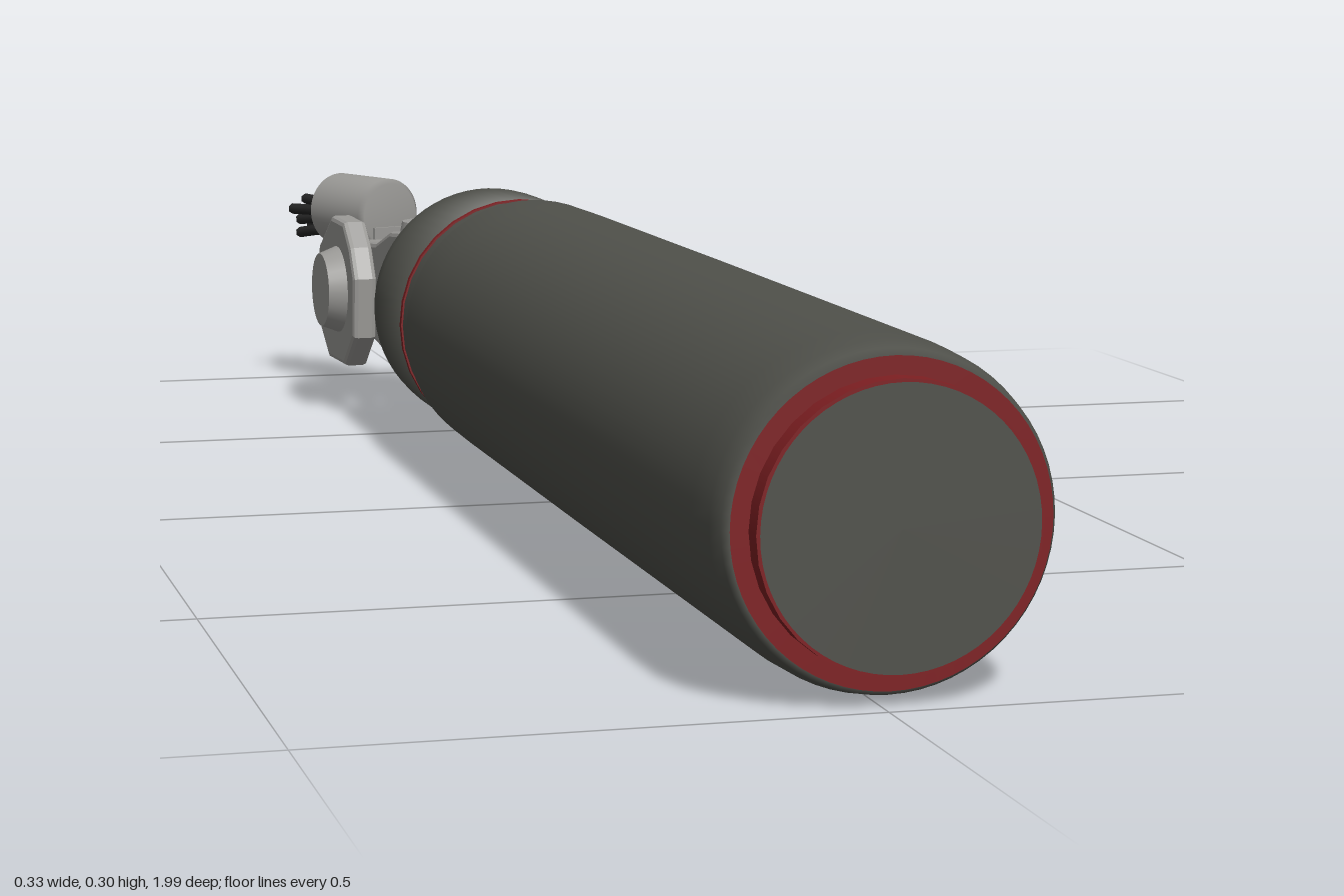
import * as THREE from 'three';

const mat = (name, color) => {
  const m = new THREE.MeshStandardMaterial({ color });
  m.name = name;
  return m;
};

export function createModel() {
  const model = new THREE.Group();
  const dark = mat('dark grey', 0x50514b);
  const red = mat('dark red', 0x7e1f22);
  const silver = mat('silver', 0x9b9a97);
  const black = mat('black', 0x242424);

  const add = (parent, name, geometry, material, x = 0, y = 0, z = 0) => {
    const mesh = new THREE.Mesh(geometry, material);
    mesh.name = name;
    mesh.position.set(x, y, z);
    parent.add(mesh);
    return mesh;
  };
  const group = (parent, name, x, y, z) => {
    const g = new THREE.Group();
    g.name = name;
    g.position.set(x, y, z);
    parent.add(g);
    return g;
  };
  // Turned part along z; [radius, z] points run from back to front.
  // Repeating each corner in its own strip keeps the rim edges crisp.
  const turned = (points) =>
    new THREE.LatheGeometry(points.map(([r, z]) => new THREE.Vector2(r, z)), 64).rotateX(Math.PI / 2);
  const rod = (r1, r2, length, axis) => {
    const g = new THREE.CylinderGeometry(r1, r2, length, 32);
    if (axis === 'x') g.rotateZ(-Math.PI / 2);
    if (axis === 'z') g.rotateX(Math.PI / 2);
    return g;
  };

  // Handle
  const handle = group(model, 'handle', 0.011, 0.154, 0);
  add(handle, 'grip', turned([[0, -0.3], [0.146, -0.3], [0.15, -0.295], [0.151, -0.2], [0.152, 0.3],
    [0.152, 0.9], [0.15, 0.945], [0.146, 0.965], [0.14, 0.97], [0, 0.97]]), dark);
  add(handle, 'gripBand', rod(0.147, 0.147, 0.008, 'z'), silver, 0, 0, -0.303);
  add(handle, 'neck', rod(0.143, 0.143, 0.05, 'z'), dark, 0, 0, -0.33);
  add(handle, 'redBand', rod(0.145, 0.145, 0.009, 'z'), red, 0, 0, -0.355);
  add(handle, 'collar', turned([[0, -0.53], [0.137, -0.53], [0.143, -0.524], [0.144, -0.5],
    [0.144, -0.36], [0, -0.36]]), dark);
  add(handle, 'frontRedRim', new THREE.RingGeometry(0.12, 0.141, 64), red, 0, 0, 0.974);
  add(handle, 'frontRedCap', rod(0.125, 0.125, 0.024, 'z'), red, 0, 0, 0.983);
  add(handle, 'frontPlate', new THREE.CircleGeometry(0.122, 64), dark, 0, 0, 0.9965);

  // Joint base on the back of the collar
  add(handle, 'jointPlate', turned([[0, -0.55], [0.09, -0.55], [0.13, -0.533], [0.13, -0.525], [0, -0.525]]), silver);
  const joint = group(model, 'universalJoint', -0.014, 0.157, -0.705);
  add(joint, 'stem', turned([[0, 0.04], [0.055, 0.04], [0.036, 0.075], [0.036, 0.1],
    [0.05, 0.125], [0.065, 0.165], [0, 0.165]]), silver);

  // Rounded arm outline in z (shape x) and y, made thin along x
  const armGeometry = (outline, thickness) => {
    const shape = new THREE.Shape();
    outline.forEach(([z, y], i) => (i ? shape.lineTo(z, y) : shape.moveTo(z, y)));
    shape.closePath();
    return new THREE.ExtrudeGeometry(shape, {
      depth: thickness - 0.012, bevelThickness: 0.006, bevelSize: 0.006, bevelSegments: 2,
    }).translate(0, 0, -(thickness - 0.012) / 2).rotateY(-Math.PI / 2);
  };

  // Fork fixed to the handle
  const innerFork = group(joint, 'innerFork', 0.014, 0, 0);
  for (const side of [-1, 1]) {
    const arm = add(innerFork, 'innerArm', armGeometry([[0.165, 0.08], [0.1, 0.075], [0.04, 0.055],
      [-0.03, 0.05], [-0.05, 0], [-0.03, -0.05], [0.04, -0.06], [0.1, -0.075], [0.165, -0.07]], 0.026),
    silver, side * 0.094, 0, 0);
    arm.rotation.y = side * -0.1;
  }

  // Central cross and its pins
  add(joint, 'crossHub', rod(0.066, 0.066, 0.1, 'y'), silver);
  for (const side of [-1, 1]) {
    add(joint, 'crossPin', rod(0.045, 0.052, 0.035, 'y'), silver, 0, side * 0.065, 0).rotation.x = side < 0 ? Math.PI : 0;
  }
  add(joint, 'crossAxle', rod(0.032, 0.032, 0.24, 'x'), black);

  // Outer fork, slightly swivelled
  const outerFork = group(joint, 'outerFork', 0, 0, 0);
  outerFork.rotation.y = 0.06;
  for (const side of [-1, 1]) {
    add(outerFork, 'outerArm', armGeometry([[0.06, 0.055], [0.03, 0.082], [-0.03, 0.084], [-0.09, 0.045],
      [-0.1, -0.05], [-0.05, -0.088], [0.03, -0.088], [0.075, -0.05], [0.08, 0.02]], 0.03),
    silver, side * 0.117, 0, 0);
    const cap = add(outerFork, 'pinCap', rod(0.046, 0.056, 0.026, 'x'), silver, side * 0.141, 0, 0);
    if (side < 0) cap.rotation.y = Math.PI;
  }
  const bridge = new THREE.Shape();
  [[-0.127, -0.07], [-0.127, -0.096], [-0.1, -0.108], [0.1, -0.108], [0.127, -0.096], [0.127, -0.07]]
    .forEach(([x, z], i) => (i ? bridge.lineTo(x, -z) : bridge.moveTo(x, -z)));
  add(outerFork, 'bridge', new THREE.ExtrudeGeometry(bridge, { depth: 0.09, bevelThickness: 0.01,
    bevelSize: 0.004, bevelSegments: 2 }).rotateX(-Math.PI / 2), silver, 0, -0.05, 0);
  const lug = add(outerFork, 'lug', rod(0.032, 0.024, 0.07, 'z'), silver, 0.01, -0.005, -0.135);
  lug.rotation.y = -0.1;
  add(outerFork, 'lugTip', new THREE.SphereGeometry(0.026, 20, 12), silver, 0.012, -0.005, -0.152);

  // Angled cable sleeve and frayed cable
  const cable = group(model, 'cableEnd', -0.078, 0.237, -0.87);
  cable.rotation.y = 0.42;
  add(cable, 'sleeve', turned([[0, -0.06], [0.041, -0.06], [0.047, -0.054], [0.047, 0.054], [0.041, 0.06], [0, 0.06]]), silver);
  add(cable, 'sleeveFoot', new THREE.BoxGeometry(0.055, 0.07, 0.06), silver, 0, -0.05, 0.035);
  for (let i = 0; i < 10; i++) {
    const a = i * 2.4;
    const r = 0.008 * Math.sqrt(i);
    const x = r * Math.cos(a), y = r * Math.sin(a) - 0.012;
    const path = new THREE.CatmullRomCurve3([
      new THREE.Vector3(x, y, -0.05),
      new THREE.Vector3(x * 1.1, y, -0.09),
      new THREE.Vector3(x * 1.4, y * 1.2, -0.118 - 0.004 * (i % 4)),
    ]);
    add(cable, 'cableStrand', new THREE.TubeGeometry(path, 5, 0.007, 6), black);
  }

  return model;
}
